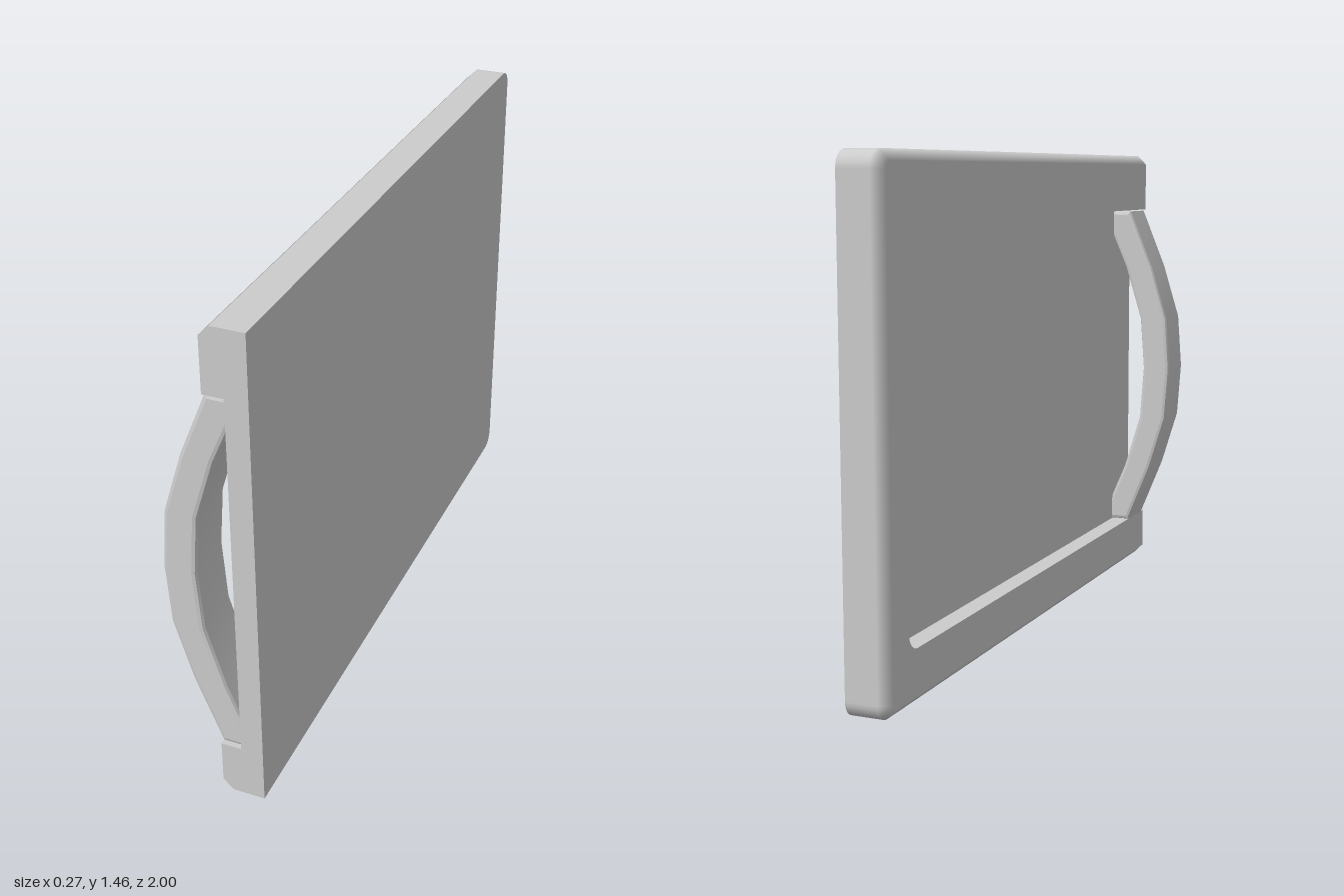
import * as THREE from 'three';
import { toCreasedNormals } from 'three/addons/utils/BufferGeometryUtils.js';

const BACK = 0.135, FRONT = 0.01, FLOOR = 0.07; // x planes of the panel
const HEIGHT = 1.46, CHAMFER = 0.03;

// U-shaped outline in (z, y), open at z = 1, with two rounded corners
function outline(zMin, yMin, yMax, radius) {
  const points = [{ z: 1, y: yMin, nz: 0, ny: -1 }];
  for (const [cy, start] of [[yMin + radius, 1.5], [yMax - radius, 1]]) {
    for (let i = 0; i <= 6; i++) {
      const a = Math.PI * (start - i / 12);
      const nz = Math.cos(a), ny = Math.sin(a);
      points.push({ z: zMin + radius + radius * nz, y: cy + radius * ny, nz, ny });
    }
  }
  points.push({ z: 1, y: yMax, nz: 0, ny: 1 });
  return points;
}

// Flat plate across an outline at a given x; facing is -1 or 1
function plate(points, x, facing) {
  const shape = new THREE.Shape(points.map(p => new THREE.Vector2(-facing * p.z, p.y)));
  return new THREE.ShapeGeometry(shape).rotateY(facing * Math.PI / 2).translate(x, 0, 0);
}

// Band between two outlines, with a normal rule for each
function band(a, xa, normalA, b, xb, normalB) {
  const position = [], normal = [], index = [];
  a.forEach((p, i) => {
    const q = b[i];
    position.push(xa, p.y, p.z, xb, q.y, q.z);
    normal.push(...normalA(p), ...normalB(q));
    if (i < a.length - 1) {
      const k = i * 2;
      index.push(k, k + 1, k + 2, k + 1, k + 3, k + 2);
    }
  });
  const geometry = new THREE.BufferGeometry();
  geometry.setAttribute('position', new THREE.Float32BufferAttribute(position, 3));
  geometry.setAttribute('normal', new THREE.Float32BufferAttribute(normal, 3));
  geometry.setIndex(index);
  return geometry;
}

export function createModel() {
  const model = new THREE.Group();
  const panel = new THREE.Group();
  panel.name = 'panel';
  model.add(panel);
  const material = new THREE.MeshStandardMaterial({ color: 0xcccccc });
  const add = (parent, name, geometry) => {
    const mesh = new THREE.Mesh(geometry, material);
    mesh.name = name;
    parent.add(mesh);
  };

  const outer = outline(-1, 0, HEIGHT, 0.05);
  const inset = outline(-1 + CHAMFER, CHAMFER, HEIGHT - CHAMFER, 0.02);
  const recess = outline(-0.88, 0.16, 1.27, 0.05);
  const outward = p => [0, p.ny, p.nz];
  const inward = p => [0, -p.ny, -p.nz];
  const forward = () => [-1, 0, 0];

  // Slab: flat back, side walls and softened edge
  add(panel, 'backFace', plate(outer, BACK, 1));
  add(panel, 'sideWalls', band(outer, BACK, outward, outer, FRONT + CHAMFER, outward));
  add(panel, 'softEdge', band(outer, FRONT + CHAMFER, outward, inset, FRONT, forward));

  // Raised frame around the recess
  add(panel, 'frameFace', plate([...inset, ...[...recess].reverse()], FRONT, -1));
  add(panel, 'recessWalls', band(recess, FRONT, inward, recess, FLOOR, inward));
  add(panel, 'recessFloor', plate(recess, FLOOR, -1));

  // Open end, cut square through the frame and recess
  const endProfile = [
    [BACK, 0], [BACK, HEIGHT], [FRONT + CHAMFER, HEIGHT], [FRONT, HEIGHT - CHAMFER],
    [FRONT, 1.27], [FLOOR, 1.27], [FLOOR, 0.16], [FRONT, 0.16],
    [FRONT, CHAMFER], [FRONT + CHAMFER, 0],
  ].map(p => new THREE.Vector2(...p));
  add(panel, 'openEnd', new THREE.ShapeGeometry(new THREE.Shape(endProfile)).translate(0, 0, 1));

  // Bowed handle: half profile mirrored about the middle of its height
  const middle = 0.713;
  const mirrored = half => [...half, ...half.slice(0, -1).reverse().map(([x, y]) => [x, 2 * middle - y])];
  const outerArc = mirrored([[0.085, 1.266], [0.01, 1.266], [-0.07, 1.07], [-0.125, 0.89], [-0.138, middle]]);
  const innerArc = mirrored([[0.085, 1.21], [0.025, 1.07], [-0.03, 0.89], [-0.043, middle]]);
  const profile = [...outerArc, ...innerArc.reverse()].map(p => new THREE.Vector2(...p));
  const bevel = 0.012;
  const handle = new THREE.ExtrudeGeometry(new THREE.Shape(profile), {
    depth: 0.16 - 2 * bevel, bevelThickness: bevel, bevelSize: bevel, bevelOffset: -bevel, bevelSegments: 2,
  }).translate(0, 0, 0.83 + bevel);
  add(model, 'handle', toCreasedNormals(handle, 0.38));

  return model;
}
